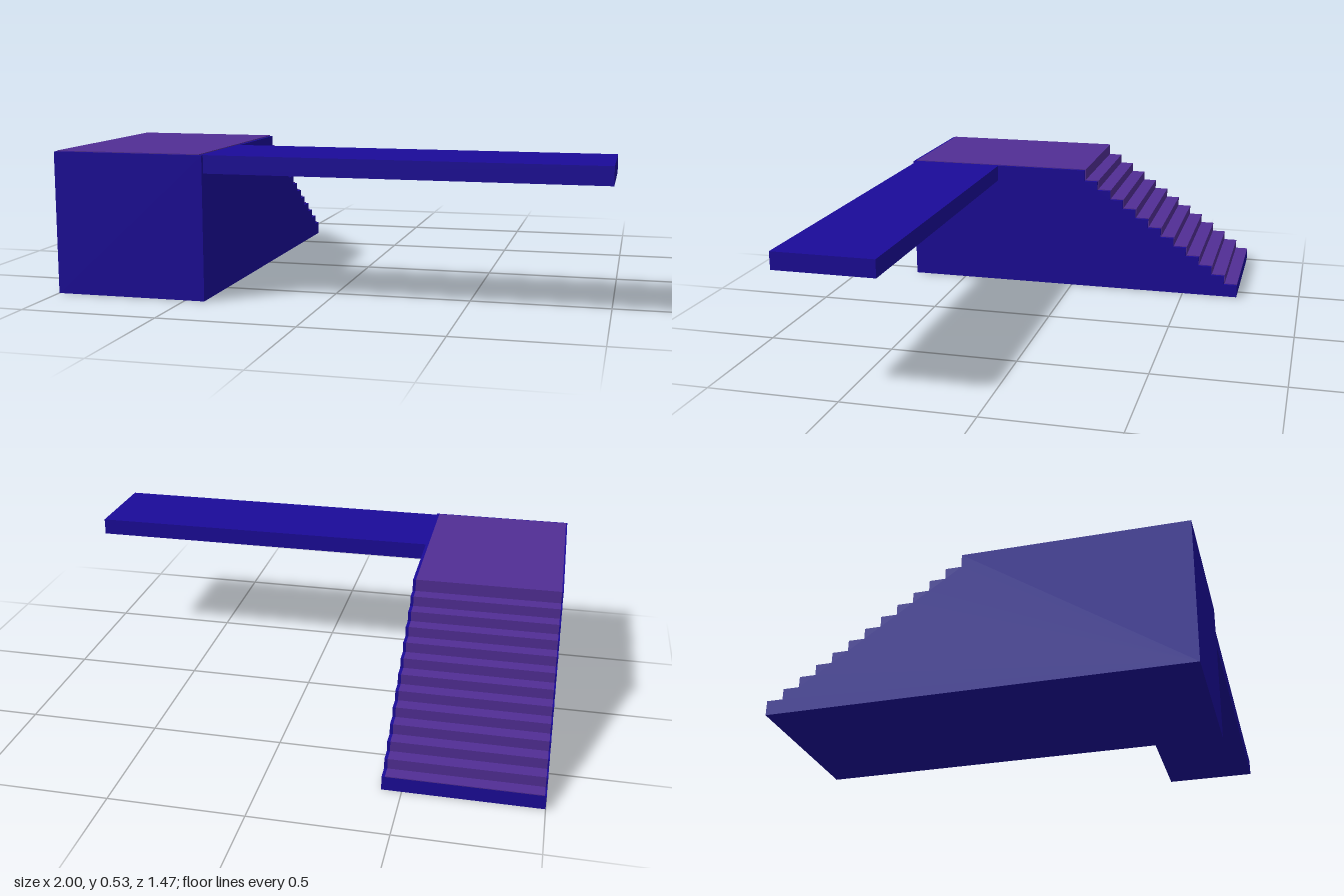
import * as THREE from 'three';

const STEPS = 12;
const FRONT = 0.735, BACK = -0.735, STAIR_TOP = -0.055;
const LEFT_EDGE = -0.427, RIGHT_EDGE = -1;
const HEIGHT = 0.527, FIRST = 0.053, RISE = 0.0388;
const CARPET = 0.003;

// Stair outline from the lowest tread up to the landing, as [-z, y]
function stairLine() {
  const points = [];
  const run = (STAIR_TOP - BACK) / STEPS;
  for (let i = 0; i < STEPS; i++) {
    const y = FIRST + i * RISE;
    points.push([-BACK - i * run, y], [-BACK - (i + 1) * run, y]);
  }
  points.push([-STAIR_TOP, HEIGHT]);
  return points;
}

// Extrudes a side outline ([-z, y] points) between two x positions
function sideExtrude(points, x0, x1, color, name) {
  const shape = new THREE.Shape(points.map(([s, y]) => new THREE.Vector2(s, y)));
  const geometry = new THREE.ExtrudeGeometry(shape, { depth: x1 - x0, bevelEnabled: false });
  geometry.rotateY(Math.PI / 2);
  geometry.translate(x0, 0, 0);
  const mesh = new THREE.Mesh(geometry, new THREE.MeshStandardMaterial({ color }));
  mesh.name = name;
  return mesh;
}

export function createModel() {
  const group = new THREE.Group();
  group.name = 'stairPlatform';
  const blue = 0x1b0b99, purple = 0x512e95;
  const line = stairLine();

  // Solid block with steps down the back
  const body = [[-FRONT, 0], [-BACK, 0], ...line, [-FRONT, HEIGHT]];
  group.add(sideExtrude(body, RIGHT_EDGE, LEFT_EDGE, blue, 'stairBlock'));

  // Thin carpet over the treads, risers and landing, leaving a narrow border
  const inner = [...line, [-FRONT + 0.012, HEIGHT]];
  const outer = inner.map(([s, y], i) =>
    [i === 0 || i === inner.length - 1 ? s : s + CARPET, y + CARPET]);
  const carpet = [...inner].reverse().concat(outer);
  group.add(sideExtrude(carpet, RIGHT_EDGE + 0.006, LEFT_EDGE - 0.012, purple, 'carpet'));

  // Plank reaching out sideways from the landing
  const plank = new THREE.Mesh(
    new THREE.BoxGeometry(1 - LEFT_EDGE, 0.066, 0.382),
    new THREE.MeshStandardMaterial({ color: blue })
  );
  plank.name = 'plank';
  plank.position.set((1 + LEFT_EDGE) / 2, 0.494, 0.529);
  group.add(plank);

  return group;
}
